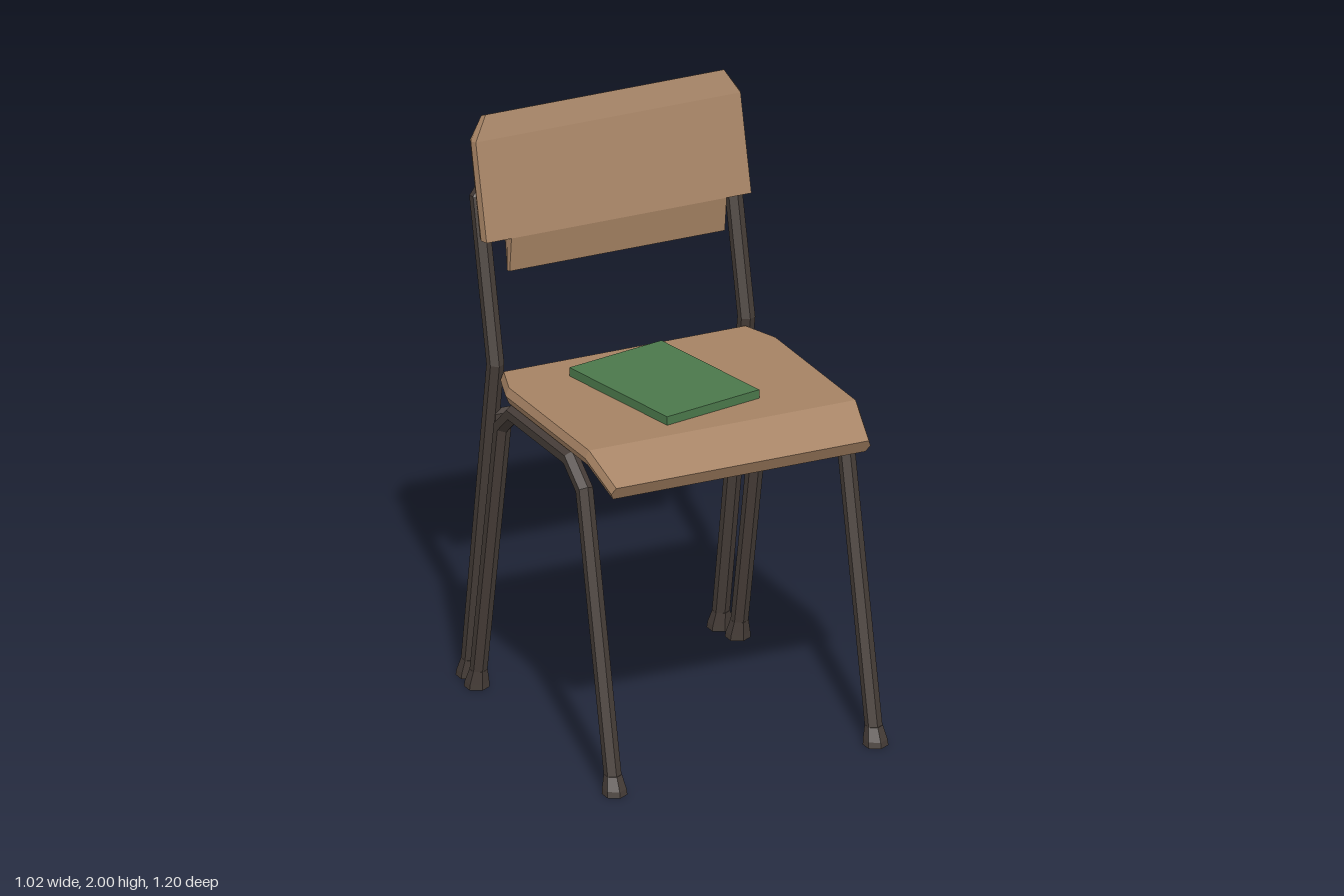
import * as THREE from 'three';

const V = (x, y, z) => new THREE.Vector3(x, y, z);

// Closed faceted solid through a series of equal-length point loops, capped at both ends
function loft(loops) {
  const tris = [];
  const n = loops[0].length;
  for (let i = 0; i < loops.length - 1; i++) {
    for (let j = 0; j < n; j++) {
      const k = (j + 1) % n;
      const [a, b, c, d] = [loops[i][j], loops[i][k], loops[i + 1][k], loops[i + 1][j]];
      tris.push([a, b, c], [a, c, d]);
    }
  }
  const first = loops[0], last = loops[loops.length - 1];
  for (let j = 1; j < n - 1; j++) {
    tris.push([first[0], first[j + 1], first[j]], [last[0], last[j], last[j + 1]]);
  }
  // turn the faces outward if the solid came out inverted
  const mid = first[0];
  let volume = 0;
  for (const [a, b, c] of tris) {
    volume += a.clone().sub(mid).dot(b.clone().sub(mid).cross(c.clone().sub(mid)));
  }
  if (volume < 0) tris.forEach((t) => t.reverse());
  const geo = new THREE.BufferGeometry().setFromPoints(tris.flat());
  geo.computeVertexNormals();
  return geo;
}

// Six-sided pipe along a polyline with mitred bends; `side` points across a flat pair,
// `endNormal` is the normal of the cut at both ends
function pipe(points, radius, side, endNormal) {
  const dirs = points.slice(1).map((p, i) => p.clone().sub(points[i]).normalize());
  const apex = side.clone().cross(dirs[0]).normalize();
  const across = dirs[0].clone().cross(apex);
  let ring = [];
  for (let j = 0; j < 6; j++) {
    const t = (j * Math.PI) / 3;
    ring.push(points[0].clone()
      .addScaledVector(apex, radius * Math.cos(t))
      .addScaledVector(across, radius * Math.sin(t)));
  }
  const loops = points.map((c, i) => {
    const d = dirs[Math.max(0, i - 1)];
    const inner = i > 0 && i < points.length - 1;
    const normal = inner ? dirs[i - 1].clone().add(dirs[i]).normalize() : endNormal;
    ring = ring.map((p) =>
      p.clone().addScaledVector(d, c.clone().sub(p).dot(normal) / d.dot(normal)));
    return ring;
  });
  return loft(loops);
}

// Horizontal hexagon with points toward +z and -z
function hexagon(x, y, z, r) {
  return Array.from({ length: 6 }, (_, j) => {
    const t = (j * Math.PI) / 3;
    return V(x + r * Math.sin(t), y, z + r * Math.cos(t));
  });
}

// Board cross-section with bevelled side edges, between a face line and a back line
function boardSection(w, yf, zf, yb, zb, bevel) {
  const ym = (yf + yb) / 2, zm = (zf + zb) / 2;
  return [
    V(-(w - bevel), yf, zf), V(w - bevel, yf, zf), V(w, ym, zm),
    V(w - bevel, yb, zb), V(-(w - bevel), yb, zb), V(-w, ym, zm),
  ];
}

export function createModel() {
  const wood = new THREE.MeshStandardMaterial({ color: 0xa58263 });
  wood.name = 'wood';
  const metal = new THREE.MeshStandardMaterial({ color: 0x463d38 });
  metal.name = 'darkMetal';
  const green = new THREE.MeshStandardMaterial({ color: 0x4b784b });
  green.name = 'greenCover';

  const model = new THREE.Group();
  model.name = 'chair';
  const add = (name, geo, mat) => {
    const mesh = new THREE.Mesh(geo, mat);
    mesh.name = name;
    model.add(mesh);
    return mesh;
  };

  const X = V(1, 0, 0), Y = V(0, 1, 0), Z = V(0, 0, 1);
  const R = 0.029;

  // Seat: flat board with a drooping front lip
  add('seat', loft([
    boardSection(0.45, 1.15, -0.33, 1.095, -0.33, 0.012),
    boardSection(0.495, 1.15, -0.2, 1.095, -0.2, 0.012),
    boardSection(0.495, 1.15, 0.39, 1.095, 0.38, 0.012),
    boardSection(0.47, 1.067, 0.54, 1.02, 0.515, 0.012),
  ]), wood);

  // Backrest: leaning board, narrower below, clipped top corners
  add('backrest', loft([
    boardSection(0.395, 1.475, -0.383, 1.475, -0.402, 0.005),
    boardSection(0.395, 1.595, -0.37, 1.595, -0.42, 0.005),
    boardSection(0.488, 1.595, -0.37, 1.595, -0.42, 0.008),
    boardSection(0.488, 1.92, -0.45, 1.915, -0.492, 0.008),
    boardSection(0.44, 2.0, -0.475, 1.985, -0.508, 0.008),
  ]), wood);

  // Bent leg frames on either side, and flared feet for all legs
  for (const s of [1, -1]) {
    const label = s > 0 ? 'left' : 'right';
    const x = s * 0.473;
    add(label + 'LegFrame', pipe([
      V(x, 0.03, 0.551), V(x, 0.99, 0.335), V(x, 1.063, 0.235),
      V(x, 1.063, -0.185), V(x, 0.99, -0.268), V(x, 0.03, -0.451),
    ], R, X, Y), metal);

    const feet = [
      ['FrontFoot', x, 0.558, 0.551],
      ['MiddleFoot', x, -0.457, -0.45],
      ['RearFoot', s * 0.455, -0.555, -0.548],
    ];
    for (const [name, fx, z0, z1] of feet) {
      add(label + name, loft([
        hexagon(fx, 0, z0, 0.042),
        hexagon(fx, 0.02, z0 * 0.7 + z1 * 0.3, 0.04),
        hexagon(fx, 0.065, z1 - Math.sign(z1) * 0.006, 0.03),
      ]), metal);
    }

    // Small strut from the crossbar up to the seat
    add(label + 'SeatStrut', pipe(
      [V(s * 0.275, 0.98, -0.372), V(s * 0.275, 1.1, -0.285)], 0.015, X, Y), metal);
  }

  // Rear legs and back hoop in one bent pipe
  const half = [
    V(0.455, 0.03, -0.55), V(0.455, 1.17, -0.357),
    V(0.455, 1.71, -0.482), V(0.365, 1.812, -0.506),
  ];
  const mirrored = half.map((p) => V(-p.x, p.y, p.z)).reverse();
  add('backHoop', pipe([...half, ...mirrored], R, X, Y), metal);

  // Crossbar under the rear of the seat
  add('crossbar', pipe([V(-0.455, 0.98, -0.376), V(0.455, 0.98, -0.376)], 0.024, Z, X), metal);

  // Book lying askew on the seat
  const book = add('book', new THREE.BoxGeometry(0.377, 0.03, 0.524), green);
  book.position.set(-0.027, 1.165, 0.018);
  book.rotation.y = 0.195;

  return model;
}
